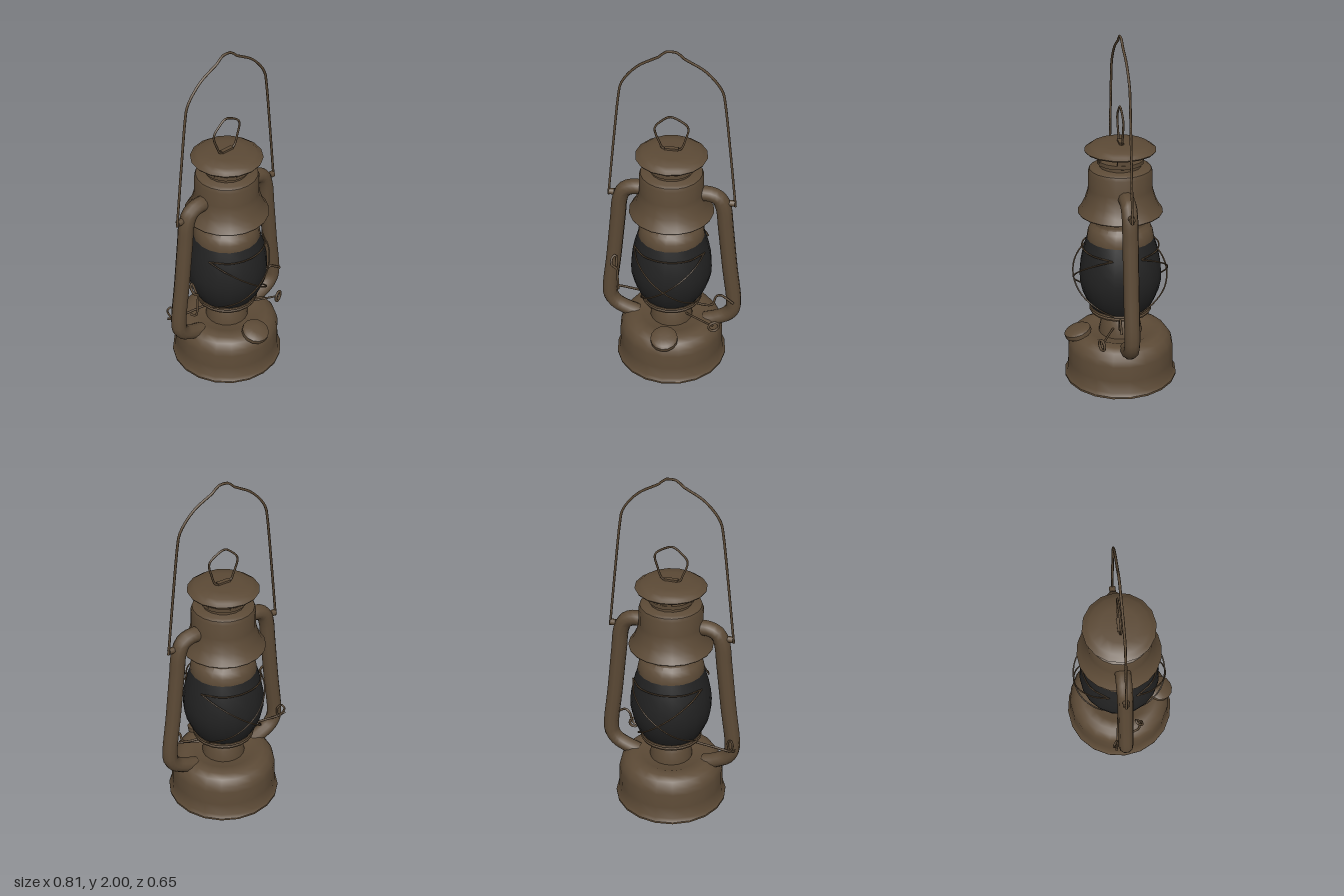
import * as THREE from 'three';
import { toCreasedNormals } from 'three/addons/utils/BufferGeometryUtils.js';

const metal = new THREE.MeshStandardMaterial({ color: 0x5c4a36 });
metal.name = 'aged bronze';
const smoked = new THREE.MeshStandardMaterial({ color: 0x222222 });
smoked.name = 'smoked glass';

export function createModel() {
  const model = new THREE.Group();
  model.name = 'oilLantern';

  const add = (name, geometry, material = metal) => {
    const mesh = new THREE.Mesh(geometry, material);
    mesh.name = name;
    model.add(mesh);
    return mesh;
  };
  // Turned part from [radius, height] pairs, listed from bottom to top
  const turned = (name, profile, sides = 20, material = metal) => add(name, toCreasedNormals(
    new THREE.LatheGeometry(profile.map(([r, y]) => new THREE.Vector2(r, y)), sides), 0.6), material);
  // Round bar through a few points
  const bar = (name, points, radius, { sides = 6, steps = 40, closed = false } = {}) => add(name,
    new THREE.TubeGeometry(new THREE.CatmullRomCurve3(
      points.map(p => new THREE.Vector3(...p)), closed, 'centripetal'), steps, radius, sides, closed));

  // Fuel tank with rolled foot and rounded shoulder
  turned('fuelTank', [[0, 0], [0.325, 0], [0.325, 0.012], [0.312, 0.03], [0.305, 0.1], [0.304, 0.19],
    [0.295, 0.225], [0.27, 0.26], [0.235, 0.277], [0.19, 0.282], [0.17, 0.272], [0, 0.272]]);

  // Burner and the plate carrying the globe
  turned('burner', [[0.125, 0.26], [0.122, 0.29], [0.112, 0.34], [0.095, 0.385], [0.085, 0.4], [0.085, 0.42]]);
  turned('globePlate', [[0, 0.4], [0.13, 0.4], [0.145, 0.41], [0.175, 0.412], [0.178, 0.422],
    [0.165, 0.428], [0.178, 0.434], [0.175, 0.444], [0, 0.444]]);

  // Globe
  turned('globe', [[0.165, 0.435], [0.19, 0.475], [0.217, 0.54], [0.23, 0.6], [0.232, 0.65],
    [0.226, 0.71], [0.212, 0.78], [0.188, 0.86]], 20, smoked);

  // Chimney collar above the globe
  turned('chimneyCollar', [[0, 0.852], [0.188, 0.852], [0.188, 0.868], [0.182, 0.9], [0.168, 0.93],
    [0.148, 0.948], [0.145, 0.96], [0.145, 1.06]]);

  // Flared hood
  turned('hood', [[0.14, 1.06], [0.19, 1.045], [0.234, 1.015], [0.236, 1.02], [0.215, 1.05], [0.198, 1.085],
    [0.184, 1.13], [0.178, 1.16], [0.177, 1.25], [0.17, 1.27], [0.155, 1.28], [0, 1.282]]);

  // Vent neck with four posts under the cap
  turned('ventNeck', [[0.115, 1.275], [0.115, 1.295], [0.128, 1.3], [0.128, 1.322], [0, 1.322]], 16);
  for (let i = 0; i < 4; i++) {
    const a = i * Math.PI / 2;
    const post = add('ventPost', new THREE.BoxGeometry(0.075, 0.065, 0.012));
    post.position.set(Math.sin(a) * 0.117, 1.345, Math.cos(a) * 0.117);
    post.rotation.y = a;
  }
  turned('ventCap', [[0, 1.365], [0.12, 1.365], [0.192, 1.368], [0.197, 1.376], [0.178, 1.388],
    [0.16, 1.402], [0.1, 1.409], [0, 1.411]], 16);

  // Lifting ring on the cap: straight wire segments
  const ringPoints = [[-0.045, 1.414], [-0.065, 1.45], [-0.09, 1.535], [-0.05, 1.585], [-0.01, 1.61],
    [0.03, 1.6], [0.088, 1.555], [0.075, 1.48], [0.045, 1.414]];
  bar('liftingRing', ringPoints.map(([x, y]) => [x, y, 0]), 0.006, { closed: true, steps: 54 });
  const clip = add('ringClip', new THREE.BoxGeometry(0.075, 0.015, 0.024));
  clip.position.set(0, 1.414, 0);

  // Side air tubes and their collars, mirrored
  for (const s of [1, -1]) {
    const side = s > 0 ? 'left' : 'right';
    bar(side + 'AirTube', [[0.14, 1.147], [0.215, 1.147], [0.262, 1.125], [0.288, 1.07], [0.305, 0.93],
      [0.335, 0.66], [0.365, 0.41], [0.36, 0.355], [0.33, 0.31], [0.27, 0.276], [0.2, 0.25]]
      .map(([x, y]) => [s * x, y, 0]), 0.044, { sides: 10, steps: 44 });
    // Ear that holds the carrying handle
    const ear = add(side + 'HandleEar', new THREE.CylinderGeometry(0.018, 0.018, 0.03, 8));
    ear.rotation.z = Math.PI / 2;
    ear.position.set(s * 0.335, 1.1, 0);
  }

  // Carrying handle with a raised grip in the middle
  const half = [[0.354, 1.08], [0.345, 1.16], [0.315, 1.43], [0.28, 1.72], [0.268, 1.78], [0.235, 1.835],
    [0.17, 1.9], [0.09, 1.945], [0.06, 1.962], [0.035, 1.987]];
  bar('carryingHandle', [...half.map(([x, y]) => [-x, y, 0]), [0, 1.993, 0],
    ...half.map(([x, y]) => [x, y, 0]).reverse()], 0.007, { steps: 80 });

  // Crossed guard wires bowing out in front of and behind the globe
  for (const z of [1, -1]) for (const s of [1, -1]) {
    bar('guardWire', [[-0.2, 0.8, 0.075], [-0.165, 0.765, 0.17], [-0.09, 0.705, 0.245], [0, 0.635, 0.267],
      [0.09, 0.56, 0.235], [0.15, 0.49, 0.15], [0.16, 0.435, 0.06]]
      .map(p => [s * p[0], p[1], z * p[2]]), 0.0045, { sides: 5, steps: 32 });
  }
  for (const z of [1, -1]) {
    // Bowed wire joining the crossings
    bar('guardBow', [[-0.2, 0.8, 0.08], [-0.12, 0.808, 0.18], [0, 0.81, 0.215], [0.12, 0.808, 0.18], [0.2, 0.8, 0.08]]
      .map(p => [p[0], p[1], z * p[2]]), 0.0045, { sides: 5, steps: 24 });
  }

  // Globe lift rod, running across under the plate to a hooked end
  bar('liftRod', [[-0.4, 0.41, -0.062], [-0.36, 0.392, -0.052], [-0.28, 0.392, -0.04], [0, 0.393, 0.005],
    [0.225, 0.395, 0.045], [0.25, 0.41, 0.048], [0.268, 0.47, 0.05], [0.295, 0.488, 0.053],
    [0.32, 0.475, 0.056], [0.37, 0.44, 0.06]], 0.007, { steps: 60 });
  bar('liftRodLoop', [[-0.36, 0.392, -0.052], [-0.385, 0.45, -0.075], [-0.37, 0.475, -0.065], [-0.35, 0.45, -0.05]],
    0.006, { closed: true, steps: 24 });

  // Thumb lever beside the right tube
  bar('thumbLever', [[-0.31, 0.46, 0.045], [-0.3, 0.47, 0.075], [-0.298, 0.58, 0.09], [-0.3, 0.63, 0.095],
    [-0.33, 0.66, 0.095], [-0.328, 0.69, 0.07], [-0.312, 0.7, 0.06], [-0.302, 0.64, 0.085]],
    0.007, { steps: 48 });

  // Wick adjuster
  bar('wickRod', [[0.06, 0.33, 0.04], [0.17, 0.33, 0.1], [0.27, 0.33, 0.15]], 0.006, { steps: 6 });
  const key = add('wickKey', new THREE.TorusGeometry(0.03, 0.008, 6, 12));
  key.position.set(0.272, 0.33, 0.152);
  key.rotation.y = 0.35;

  // Filler neck and cap, tilted toward the front
  const filler = turned('fillerCap', [[0.05, -0.08], [0.055, -0.035], [0.06, -0.015], [0.078, -0.005],
    [0.078, 0.02], [0.065, 0.03], [0.025, 0.034], [0, 0.034]], 14);
  filler.position.set(0, 0.272, 0.245);
  filler.rotation.x = 0.3;

  return model;
}
